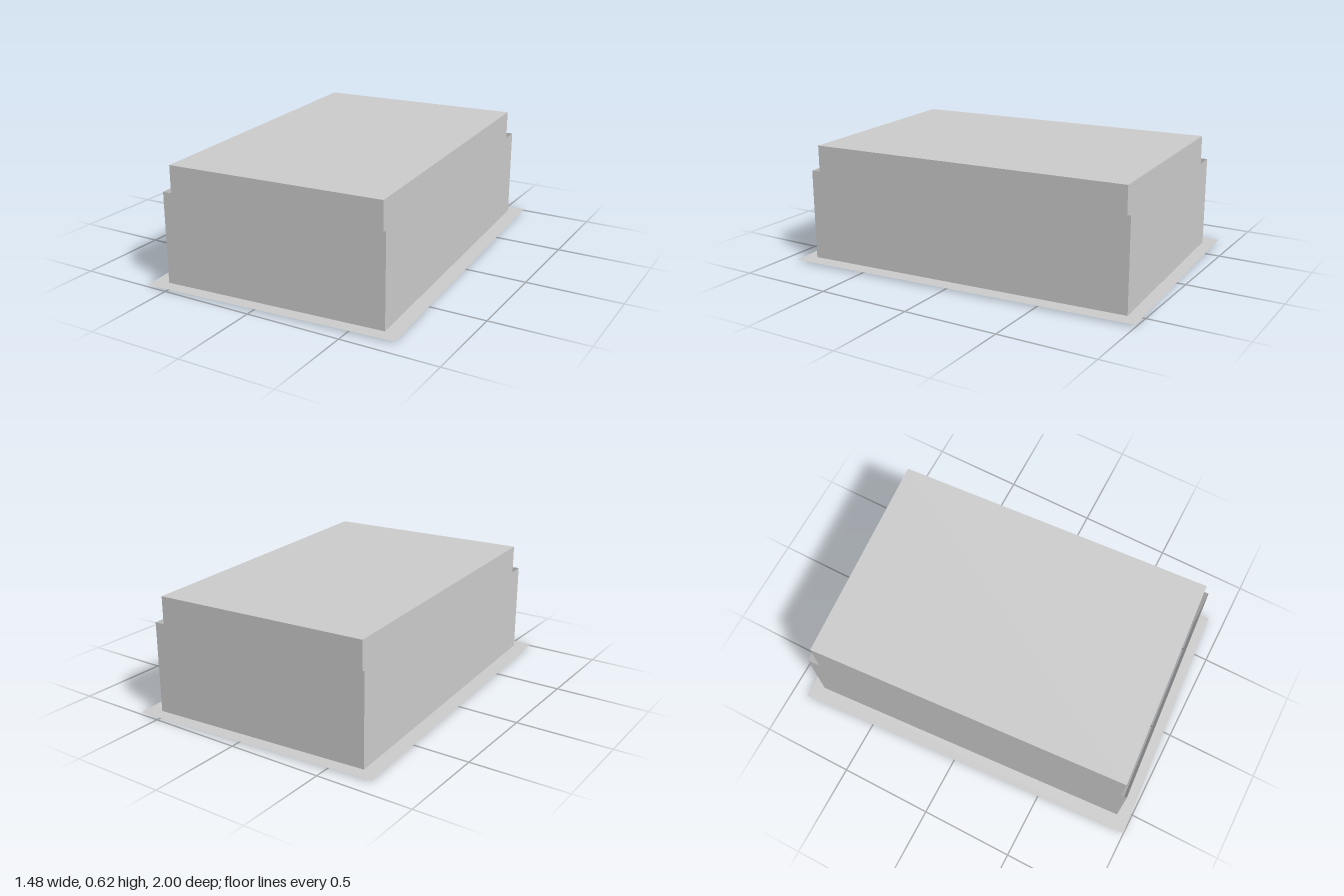
import * as THREE from 'three';

const solid = new THREE.MeshStandardMaterial({ color: 0xcccccc, flatShading: true });
const thin = new THREE.MeshStandardMaterial({ color: 0xcccccc, flatShading: true, side: THREE.DoubleSide });

const CORE = { w: 1.14, d: 1.722, bottom: 0.002, top: 0.626 };
const SLEEVE = { w: 1.192, d: 1.777, bottom: 0.012, top: 0.494 };
const FLANGE = { w: 1.353, d: 1.914 };

// Rectangle corners in order, centred on the origin
function corners(w, d) {
  return [[-1, -1], [1, -1], [1, 1], [-1, 1]].map(([x, y]) => new THREE.Vector2(x * w / 2, y * d / 2));
}

function addPart(group, name, geometry, material, y) {
  const mesh = new THREE.Mesh(geometry, material);
  mesh.name = name;
  mesh.position.y = y;
  group.add(mesh);
  return mesh;
}

export function createModel() {
  const model = new THREE.Group();
  model.name = 'curbedBox';

  // Closed inner box, rising above the sleeve
  const coreHeight = CORE.top - CORE.bottom;
  addPart(model, 'core', new THREE.BoxGeometry(CORE.w, coreHeight, CORE.d), solid, CORE.bottom + coreHeight / 2);

  // Sleeve of four thin walls, open above and below, with a gap around the core
  const sleeve = new THREE.Group();
  sleeve.name = 'sleeve';
  const height = SLEEVE.top - SLEEVE.bottom;
  for (let i = 0; i < 4; i++) {
    const [length, reach] = i % 2 ? [SLEEVE.d, SLEEVE.w / 2] : [SLEEVE.w, SLEEVE.d / 2];
    const geometry = new THREE.PlaneGeometry(length, height);
    geometry.translate(0, 0, reach).rotateY(i * Math.PI / 2);
    addPart(sleeve, 'sleeveWall', geometry, thin, SLEEVE.bottom + height / 2);
  }
  model.add(sleeve);

  // Flat flange around the foot of the sleeve
  const ring = new THREE.Shape(corners(FLANGE.w, FLANGE.d));
  ring.holes.push(new THREE.Path(corners(SLEEVE.w, SLEEVE.d)));
  addPart(model, 'flange', new THREE.ShapeGeometry(ring).rotateX(-Math.PI / 2), thin, SLEEVE.bottom);

  // The whole body stands slightly turned
  model.rotation.y = 0.0653;
  const root = new THREE.Group();
  root.add(model);
  return root;
}
